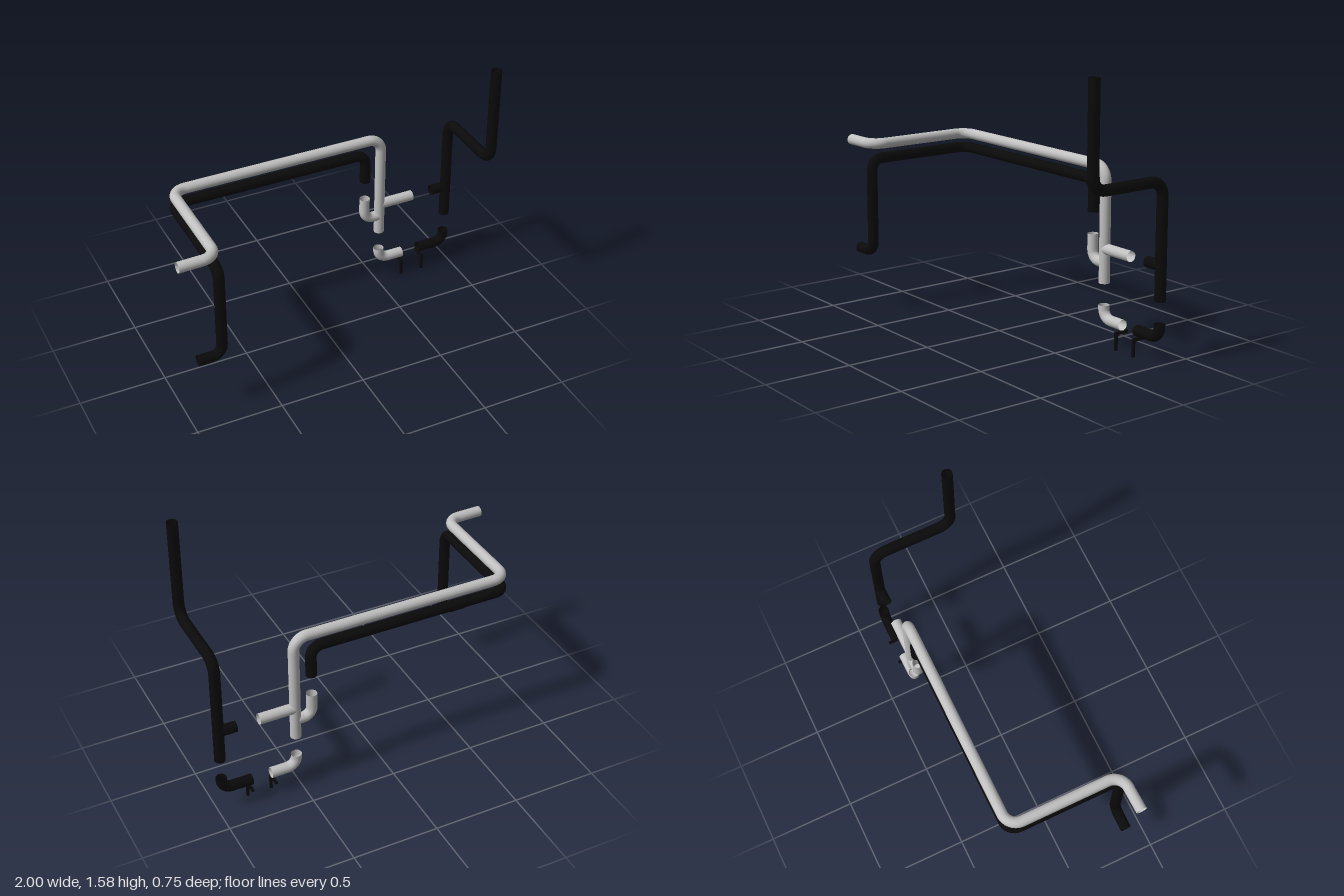
import * as THREE from 'three';

const RADIUS = 0.031;
const BACK = -0.33; // z of the rear plane that carries most pipes

// Path of straight runs joined by round quarter bends
function bentPath(points, bend) {
  const pts = points.map((p) => new THREE.Vector3(...p));
  const path = new THREE.CurvePath();
  let from = pts[0];
  for (let i = 1; i < pts.length - 1; i++) {
    const corner = pts[i];
    const inDir = corner.clone().sub(pts[i - 1]).normalize();
    const outDir = pts[i + 1].clone().sub(corner).normalize();
    const a = corner.clone().addScaledVector(inDir, -bend);
    const b = corner.clone().addScaledVector(outDir, bend);
    path.add(new THREE.LineCurve3(from, a));
    path.add(new THREE.CubicBezierCurve3(
      a, a.clone().addScaledVector(inDir, bend * 0.5523),
      b.clone().addScaledVector(outDir, -bend * 0.5523), b));
    from = b;
  }
  path.add(new THREE.LineCurve3(from, pts[pts.length - 1]));
  return path;
}

export function createModel() {
  const model = new THREE.Group();
  model.name = 'pipework';

  const grey = new THREE.MeshStandardMaterial({ color: 0xc0c0c0, side: THREE.DoubleSide });
  grey.name = 'light grey pipe';
  const black = new THREE.MeshStandardMaterial({ color: 0x0a0a0a, side: THREE.DoubleSide });
  black.name = 'black pipe';

  function pipe(name, material, points, bend = 0.08) {
    const path = bentPath(points, bend);
    const steps = Math.max(2, Math.ceil(path.getLength() * 70));
    const mesh = new THREE.Mesh(new THREE.TubeGeometry(path, steps, RADIUS, 24, false), material);
    mesh.name = name;
    model.add(mesh);
  }

  // Long grey run with its side branch
  pipe('upperGreyPipe', grey, [
    [-1, 1, 0.343], [-0.777, 1, 0.337], [-0.777, 1, BACK], [0.52, 1, BACK], [0.52, 0.345, BACK],
  ]);
  pipe('greyBranch', grey, [[0.52, 0.54, BACK], [0.735, 0.54, BACK]]);

  // Grey elbows
  pipe('greySideElbow', grey, [[0.42, 0.607, BACK], [0.42, 0.46, BACK], [0.51, 0.46, BACK]], 0.055);
  pipe('greyLowerElbow', grey, [[0.52, 0.22, BACK], [0.52, 0.14, BACK], [0.677, 0.14, BACK]], 0.06);

  // Long black run beneath the grey one
  pipe('lowerBlackPipe', black, [
    [-0.92, 0.357, 0.346], [-0.777, 0.357, 0.346], [-0.777, 0.915, 0.346],
    [-0.777, 0.915, BACK], [0.42, 0.915, BACK], [0.42, 0.73, BACK],
  ], 0.065);

  // Tall black riser with its branch and lower elbow
  pipe('blackRiser', black, [
    [0.968, 1.577, 0.147], [0.968, 0.997, 0.147], [0.968, 0.997, BACK], [0.968, 0.345, BACK],
  ]);
  pipe('blackBranch', black, [[0.968, 0.54, BACK], [0.866, 0.54, BACK]]);
  pipe('blackLowerElbow', black, [[0.968, 0.22, BACK], [0.968, 0.14, BACK], [0.79, 0.14, BACK]], 0.06);

  // Small L-shaped handles under the two lower elbows
  for (const x of [0.664, 0.805]) {
    const handle = new THREE.Group();
    handle.name = 'handle';
    const bar = new THREE.Mesh(new THREE.BoxGeometry(0.014, 0.016, 0.088), black);
    bar.name = 'handleBar';
    bar.position.set(x, 0.095, -0.332);
    const leg = new THREE.Mesh(new THREE.BoxGeometry(0.014, 0.1, 0.015), black);
    leg.name = 'handleLeg';
    leg.position.set(x, 0.05, -0.2955);
    handle.add(bar, leg);
    model.add(handle);
  }
  return model;
}
